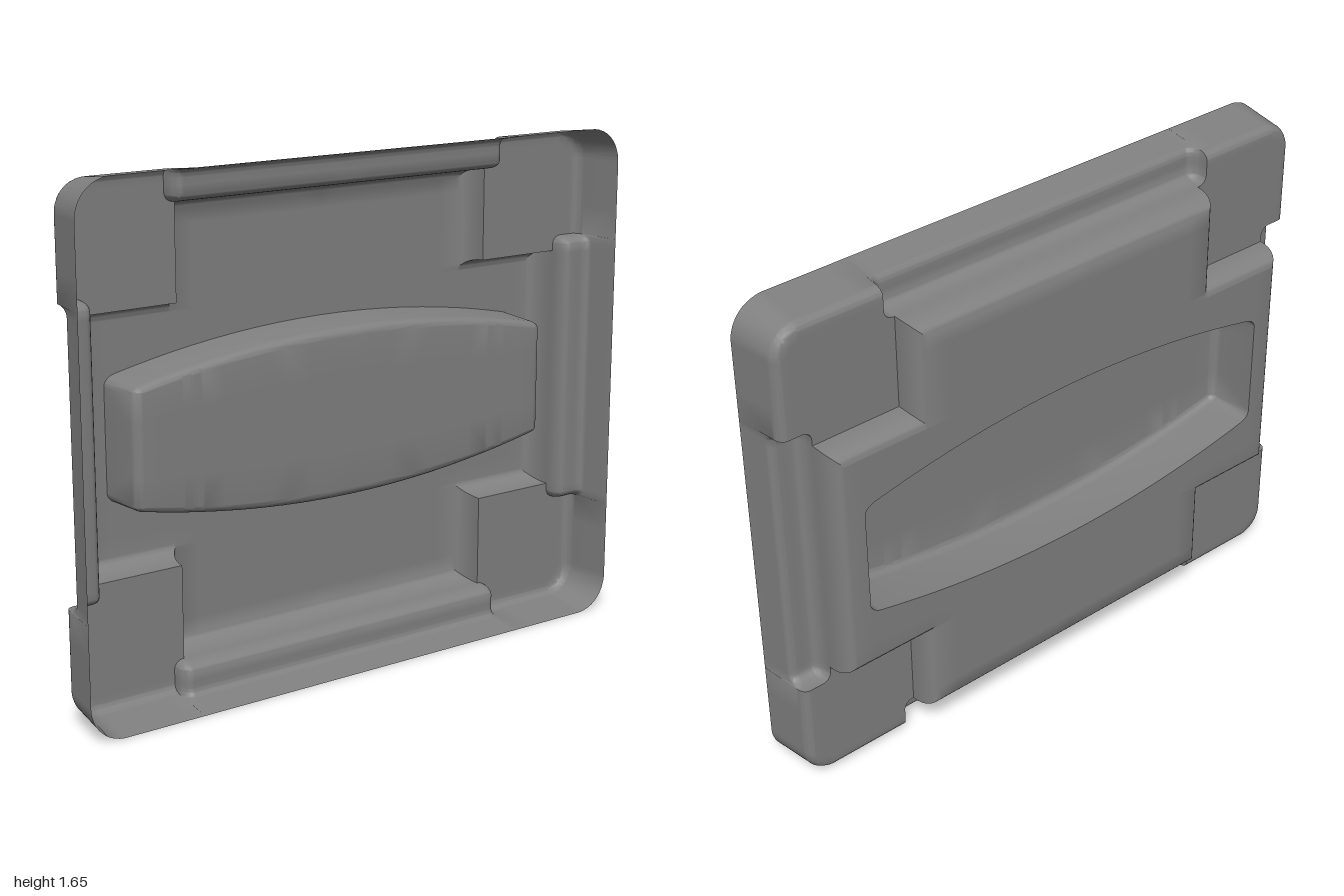
import * as THREE from 'three';
import { toCreasedNormals } from 'three/addons/utils/BufferGeometryUtils.js';

// Half width, half height, corner radius of the pressed panel
const HX = 1, HY = 0.825, R = 0.115;
// Depth levels
const RIM = 0.135, CORNER = -0.04, POCKET = 0.09, LEDGE = 0.06, HANDLE = 0.165;
// Fillet widths
const W_POCKET = 0.04, W_LEDGE = 0.03, W_WALL = 0.026, W_HANDLE_X = 0.028, W_HANDLE_Y = 0.02;
// Widths of the straight, slightly tapered wall parts
const DRAFT = 0.018, DRAFT_HANDLE = 0.006;

// Quarter-round step: sharp at t = 0, smooth at t = w
const step = (t, w) => {
  const k = THREE.MathUtils.clamp(t / w, 0, 1);
  return Math.sqrt(1 - (1 - k) * (1 - k));
};

// Straight tapered wall that ends in a quarter-round
const draftStep = (t, draft, w) =>
  0.8 * THREE.MathUtils.clamp(t / draft, 0, 1) + 0.2 * step(t - draft, w);

// Grid lines that follow a quarter-round starting at `edge`
const fillet = (edge, w, dir) =>
  Array.from({ length: 8 }, (_, i) => edge + dir * w * (1 - Math.cos((i / 7) * Math.PI / 2)));

// Sorted, mirrored grid lines
function mirrored(lines) {
  const half = [...new Set(lines.map((v) => +v.toFixed(5)))].sort((a, b) => a - b);
  return [...half.slice(1).reverse().map((v) => -v), ...half];
}

const wallLines = (h) => [h, ...fillet(h - DRAFT, W_WALL, -1), h - 0.065, h - 0.09, h - R];

const xs = mirrored([
  0, 0.08, 0.16, 0.24, 0.32, 0.4, 0.47, 0.68,
  ...fillet(0.58, W_POCKET, -1), ...fillet(0.615, W_LEDGE, -1),
  0.78, ...fillet(0.78 - DRAFT_HANDLE, W_HANDLE_X, -1), ...fillet(0.88, W_POCKET, -1),
  ...fillet(0.88, W_LEDGE, 1), ...wallLines(HX),
]);
const ys = mirrored([
  0, 0.08, 0.25, 0.3, 0.36, 0.55, 0.62,
  0.19, ...fillet(0.19 - DRAFT_HANDLE, W_HANDLE_Y, -1), ...fillet(0.405, W_POCKET, -1),
  ...fillet(0.455, W_LEDGE, -1), ...fillet(0.705, W_POCKET, -1),
  ...fillet(0.705, W_LEDGE, 1), ...wallLines(HY),
]);

// Corners to round: corner x, y and the signed radii pointing outward
const corners = [
  [HX, HY, R, R], // panel outline
  [0.78, 0.19, 0.034, 0.026], // raised centre
  [0.88, 0.455, -0.03, 0.03], // side ledges
  [0.615, 0.705, 0.03, -0.03], // top and bottom ledges
];

// Depth of the sheet at a grid point (ax, ay are distances from the centre)
function depth(ax, ay) {
  // Cross-shaped pocket pressed to the back
  const pocket = Math.max(Math.min(0.58 - ax, 0.705 - ay), Math.min(0.88 - ax, 0.405 - ay));
  // Ledges along the four sides, pressed to the front
  const ledge = Math.max(Math.min(ax - 0.88, 0.455 - ay), Math.min(ay - 0.705, 0.615 - ax));
  // Barrel-shaped raised centre
  const handle = Math.min(
    draftStep(0.78 - ax, DRAFT_HANDLE, W_HANDLE_X),
    draftStep(0.19 - ay, DRAFT_HANDLE, W_HANDLE_Y),
  );
  const floor = CORNER - POCKET * step(pocket, W_POCKET)
    + LEDGE * step(ledge, W_LEDGE) + HANDLE * handle;
  // Tapered outer wall with a rounded foot
  const wall = 1 - draftStep(Math.min(HX - ax, HY - ay), DRAFT, W_WALL);
  return floor + (RIM - floor) * wall;
}

// Moves a grid point so corners become round and rows follow the barrel curve
function place(x, y) {
  let ax = Math.abs(x), ay = Math.abs(y);
  const z = depth(ax, ay);
  for (const [cx, cy, rx, ry] of corners) {
    const a = 1 + (ax - cx) / rx, b = 1 + (ay - cy) / ry, m = Math.max(a, b);
    if (a > 0 && b > 0 && m < 1.0001) {
      const k = m / Math.hypot(a, b);
      ax = cx + rx * (a * k - 1);
      ay = cy + ry * (b * k - 1);
      break;
    }
  }
  const bow = 0.19 + 0.092 * Math.max(0, 1 - (ax / 0.78) ** 2);
  if (ay <= 0.19) ay *= bow / 0.19;
  else if (ay < 0.36) ay = bow + (ay - 0.19) / 0.17 * (0.36 - bow);
  return [Math.sign(x) * ax, Math.sign(y) * ay + HY, z];
}

function shellGeometry() {
  const position = [], index = [], n = xs.length;
  for (const y of ys) for (const x of xs) position.push(...place(x, y));
  for (let j = 0; j < ys.length - 1; j++) {
    for (let i = 0; i < n - 1; i++) {
      const a = j * n + i, b = a + 1, c = a + n + 1, d = a + n;
      // Diagonals point at the corners so all four quarters match
      if ((xs[i] + xs[i + 1]) * (ys[j] + ys[j + 1]) > 0) index.push(a, b, c, a, c, d);
      else index.push(a, b, d, b, c, d);
    }
  }
  const geometry = new THREE.BufferGeometry();
  geometry.setAttribute('position', new THREE.Float32BufferAttribute(position, 3));
  geometry.setIndex(index);
  return toCreasedNormals(geometry, 0.7);
}

export function createModel() {
  const group = new THREE.Group();
  group.name = 'pressedPanel';
  // Thin pressed sheet in dark grey, open at the front
  const shell = new THREE.Mesh(
    shellGeometry(),
    new THREE.MeshStandardMaterial({ color: 0x808080, side: THREE.DoubleSide }),
  );
  shell.name = 'panelShell';
  group.add(shell);
  return group;
}
